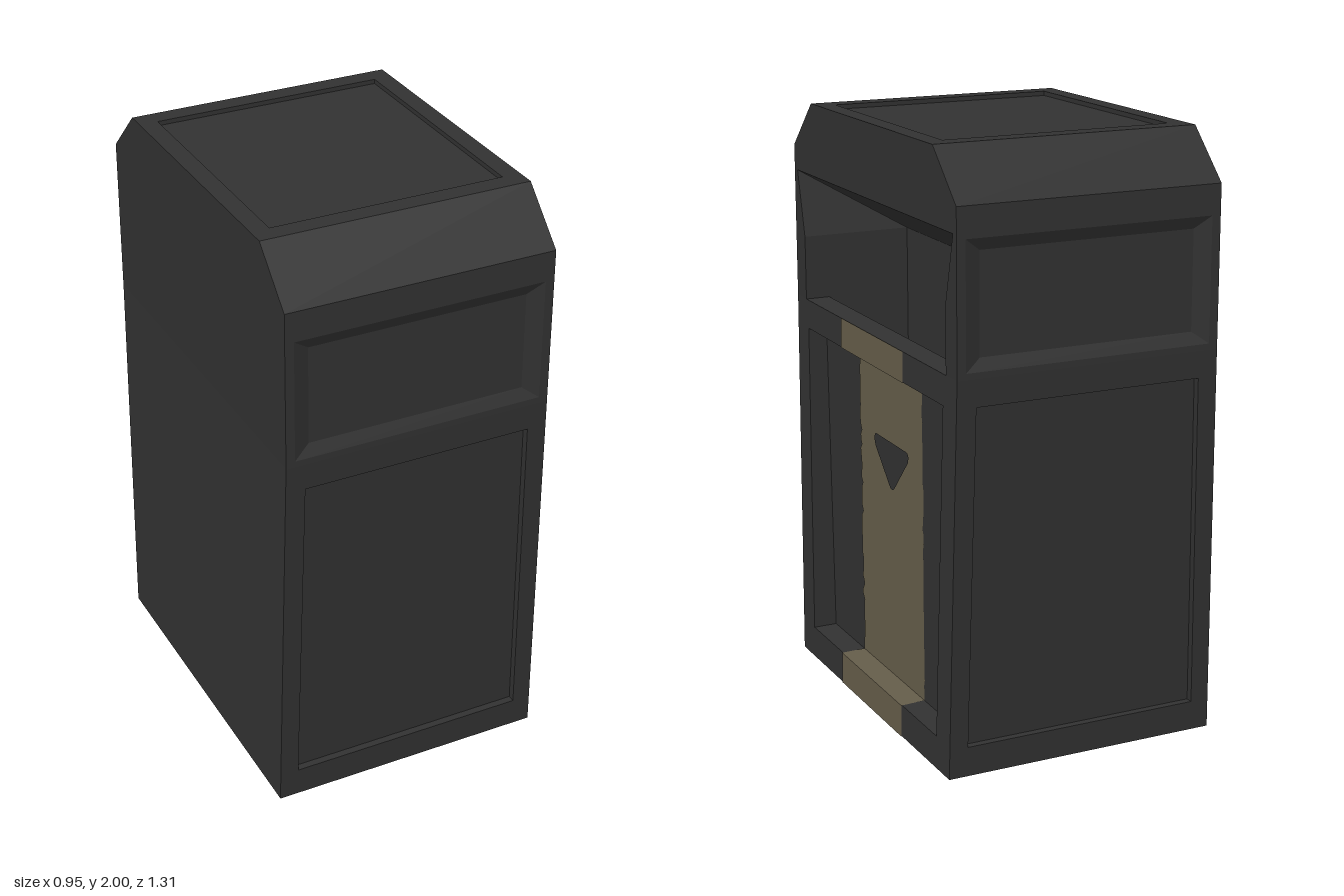
import * as THREE from 'three';

const dark = new THREE.MeshStandardMaterial({ color: 0x313131, side: THREE.DoubleSide });
dark.name = 'charcoal metal';
const tan = new THREE.MeshStandardMaterial({ color: 0x645c49, side: THREE.DoubleSide });
tan.name = 'worn tan paint';

// Mesh from convex polygons, corners counter-clockwise seen from outside
function polyMesh(name, polys, material = dark) {
  const pos = [];
  for (const p of polys)
    for (let i = 1; i < p.length - 1; i++) pos.push(...p[0], ...p[i], ...p[i + 1]);
  const g = new THREE.BufferGeometry();
  g.setAttribute('position', new THREE.Float32BufferAttribute(pos, 3));
  g.computeVertexNormals();
  const m = new THREE.Mesh(g, material);
  m.name = name;
  return m;
}

// Quads between two matching loops of corners
const ring = (a, b) => a.map((p, i) => {
  const j = (i + 1) % a.length;
  return [p, a[j], b[j], b[i]];
});

// Frame, recess walls and sunken panel
const framed = (outer, inner, sunk) => [...ring(outer, inner), ...ring(inner, sunk), sunk];

// Four corners of a symmetric trapezoid: half widths and heights at bottom and top
const trap = (w0, y0, w1, y1, place) =>
  [place(-w0, y0), place(w0, y0), place(w1, y1), place(-w1, y1)];

// Slightly tapered lower body
const sideX = y => 0.475 - 0.02 * y / 1.31;
const endZ = y => 0.625 + 0.03 * y / 1.31;
const PANEL_X = 0.39;

// Front or back end: lower panel, upper panel and roof bevel
function createEnd(name) {
  const g = new THREE.Group();
  g.name = name;
  const on = d => (x, y) => [x, y, endZ(y) - d];
  const up = d => (x, y) => [x, y, 0.655 - d];
  g.add(polyMesh('lowerEndPanel', framed(
    trap(0.475, 0, 0.455, 1.31, on(0)),
    trap(0.41, 0.1, 0.39, 1.22, on(0)),
    trap(0.41, 0.1, 0.39, 1.22, on(0.025)))));
  g.add(polyMesh('upperEndPanel', framed(
    trap(0.455, 1.31, 0.455, 1.84, up(0)),
    trap(0.425, 1.33, 0.425, 1.74, up(0)),
    trap(0.37, 1.37, 0.37, 1.7, up(0.02)))));
  g.add(polyMesh('roofBevel', [[
    [-0.455, 1.84, 0.655], [0.455, 1.84, 0.655], [0.455, 2, 0.49], [-0.455, 2, 0.49]]]));
  return g;
}

// Deep litter opening with sloping ceiling and hollow inside
function createOpening() {
  const g = new THREE.Group();
  g.name = 'opening';
  const back = 0.07, lip = 0.37, floor = 0.8, out = 0.455;
  const posts = [], walls = [];
  for (const s of [1, -1]) {
    const post = [[0.655, 1.31], [0.575, 1.31], [0.575, 1.53], [0.63, 1.755], [0.655, 1.755]]
      .map(([z, y]) => [out, y, s * z]);
    posts.push(s > 0 ? post : post.reverse());
    const z = s * 0.575;
    const side = [
      [[out, 1.53, z], [out, 1.755, s * 0.63], [back, 1.53, z]],
      [[out, 1.31, z], [out, 1.53, z], [back, 1.53, z], [back, 1.31, z]],
      [[lip, floor, z], [lip, 1.31, z], [back, 1.31, z], [back, floor, z]],
    ];
    walls.push(...side.map(p => (s > 0 ? p : p.reverse())));
  }
  const w = 0.575;
  walls.push(
    [[back, 1.53, w], [back, 1.53, -w], [out, 1.755, -0.63], [out, 1.755, 0.63]],
    [[back, floor, w], [back, floor, -w], [back, 1.53, -w], [back, 1.53, w]],
    [[back, floor, w], [lip, floor, w], [lip, floor, -w], [back, floor, -w]],
    [[lip, floor, -w], [lip, floor, w], [lip, 1.31, w], [lip, 1.31, -w]],
    [[lip, 1.31, w], [out, 1.31, w], [out, 1.31, -w], [lip, 1.31, -w]]);
  g.add(polyMesh('openingPosts', posts), polyMesh('openingLiner', walls));
  return g;
}

// Painted strip with ragged edges that follows the frame and the sunken panel
function createStripe() {
  let seed = 7;
  const rand = () => (seed = (seed * 16807) % 2147483647) / 2147483647;
  const rows = [[0, sideX(0)], [0.11, sideX(0.11)], [0.113, PANEL_X]];
  const n = 64;
  for (let i = 1; i < n; i++) rows.push([0.113 + 1.094 * i / n, PANEL_X]);
  rows.push([1.207, PANEL_X], [1.21, sideX(1.21)], [1.312, 0.455]);
  let left = 0.25, right = -0.258;
  const pts = rows.map(([y, x]) => {
    if (rand() < 0.35) left = 0.241 + 0.017 * rand();
    if (rand() < 0.35) right = -0.253 - 0.01 * rand();
    return [[x + 0.003, y, left], [x + 0.003, y, right]];
  });
  const quads = pts.slice(1).map((p, i) => [pts[i][0], pts[i][1], p[1], p[0]]);
  return polyMesh('paintedStripe', quads, tan);
}

// Rounded downward triangle, left unpainted in the stripe
function createTriangle() {
  const s = new THREE.Shape();
  s.moveTo(-0.11, 0.94);
  s.lineTo(0.14, 0.94);
  s.quadraticCurveTo(0.165, 0.935, 0.15, 0.905);
  s.lineTo(0.04, 0.788);
  s.quadraticCurveTo(0.018, 0.765, -0.005, 0.788);
  s.lineTo(-0.115, 0.895);
  s.quadraticCurveTo(-0.135, 0.93, -0.11, 0.94);
  const m = new THREE.Mesh(new THREE.ShapeGeometry(s, 6), dark);
  m.name = 'triangleMark';
  m.rotation.y = Math.PI / 2;
  m.position.x = PANEL_X + 0.007;
  return m;
}

export function createModel() {
  const bin = new THREE.Group();
  bin.name = 'litterBin';

  // Matching ends
  const backEnd = createEnd('backEnd');
  backEnd.rotation.y = Math.PI;
  bin.add(createEnd('frontEnd'), backEnd);

  // Open side with its deep panel
  const onSide = (w, y) => [sideX(y), y, -w];
  bin.add(polyMesh('sidePanel', framed(
    trap(0.625, 0, 0.655, 1.31, onSide),
    trap(0.525, 0.11, 0.555, 1.21, onSide),
    trap(0.525, 0.11, 0.555, 1.21, (w, y) => [PANEL_X, y, -w]))));
  bin.add(polyMesh('hoodSide', [[
    [0.455, 1.755, 0.655], [0.455, 1.755, -0.655], [0.455, 1.84, -0.655],
    [0.455, 2, -0.49], [0.455, 2, 0.49], [0.455, 1.84, 0.655]]]));
  bin.add(createOpening(), createStripe(), createTriangle());

  // Plain closed side
  bin.add(polyMesh('plainSide', [
    trap(0.625, 0, 0.655, 1.31, (w, y) => [-sideX(y), y, w]),
    [[-0.455, 1.31, -0.655], [-0.455, 1.31, 0.655], [-0.455, 1.84, 0.655],
      [-0.455, 2, 0.49], [-0.455, 2, -0.49], [-0.455, 1.84, -0.655]]]));

  // Roof and base
  const roof = y => (x, z) => [x, y, -z];
  bin.add(polyMesh('roof', framed(
    trap(0.455, -0.49, 0.455, 0.49, roof(2)),
    trap(0.393, -0.425, 0.393, 0.425, roof(2)),
    trap(0.393, -0.425, 0.393, 0.425, roof(1.985)))));
  bin.add(polyMesh('base', [trap(0.475, -0.625, 0.475, 0.625, (x, z) => [x, 0, z])]));
  return bin;
}
